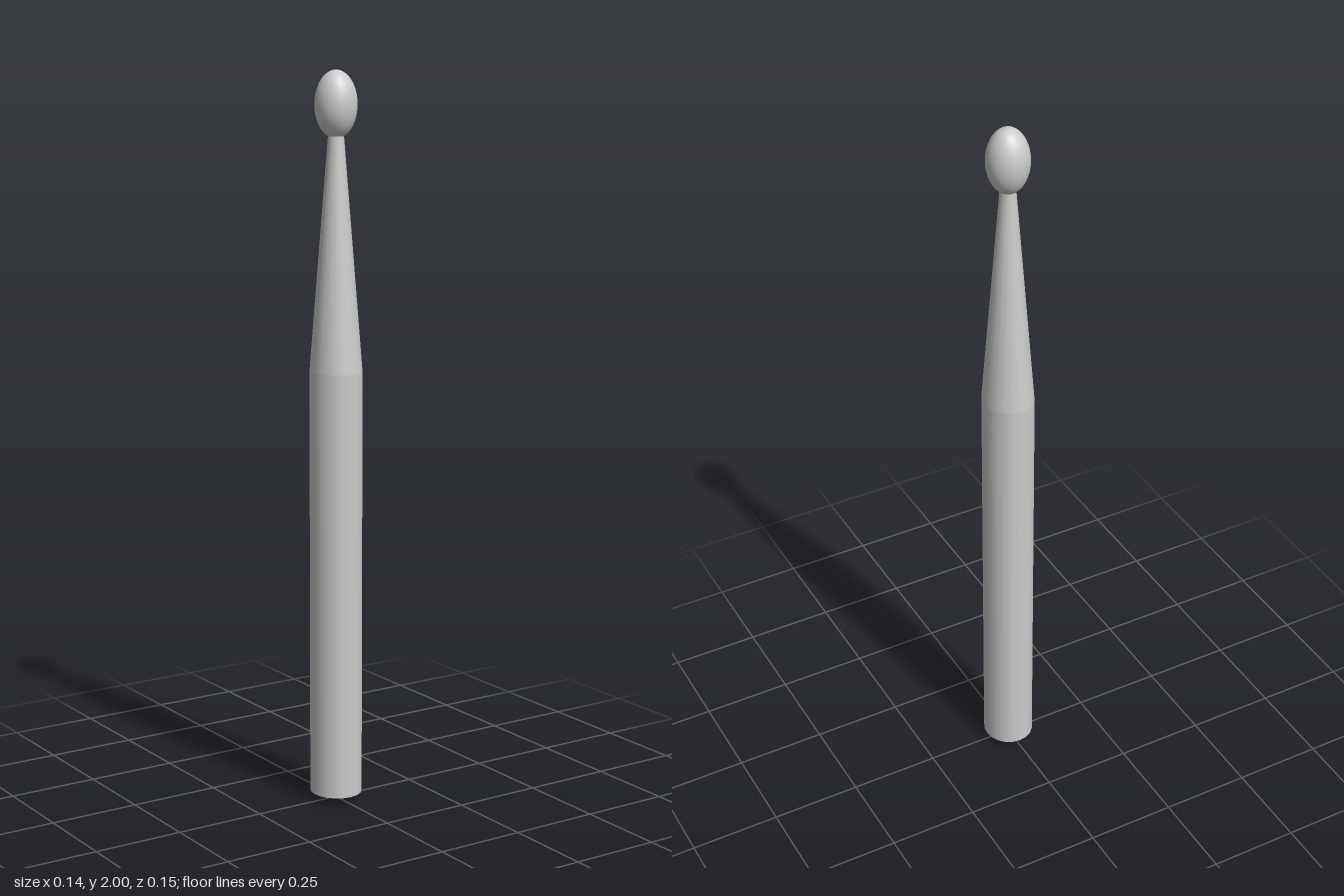
import * as THREE from 'three';

const SIDES = 20;

export function createModel() {
  const group = new THREE.Group();
  group.name = 'drumstick';
  const material = new THREE.MeshStandardMaterial({ color: 0xcccccc });

  const add = (name, geometry, y) => {
    const mesh = new THREE.Mesh(geometry, material);
    mesh.name = name;
    mesh.position.y = y;
    group.add(mesh);
    return mesh;
  };

  // Open round section between two heights, very slightly oval
  const section = (name, y0, r0, y1, r1) => {
    const geometry = new THREE.CylinderGeometry(r1, r0, y1 - y0, SIDES, 1, true);
    geometry.scale(0.95, 1, 1);
    return add(name, geometry, (y0 + y1) / 2);
  };

  // Shallow cone closing the butt end
  section('buttEnd', 0, 0, 0.02, 0.074);

  // Straight grip and tapering shoulder
  section('shaft', 0.02, 0.074, 1.2, 0.074);
  section('taper', 1.2, 0.074, 1.84, 0.021);

  // Egg-shaped striking tip
  const tip = new THREE.SphereGeometry(1, 32, 20);
  tip.scale(0.057, 0.09, 0.057);
  add('tip', tip, 1.91);

  return group;
}
